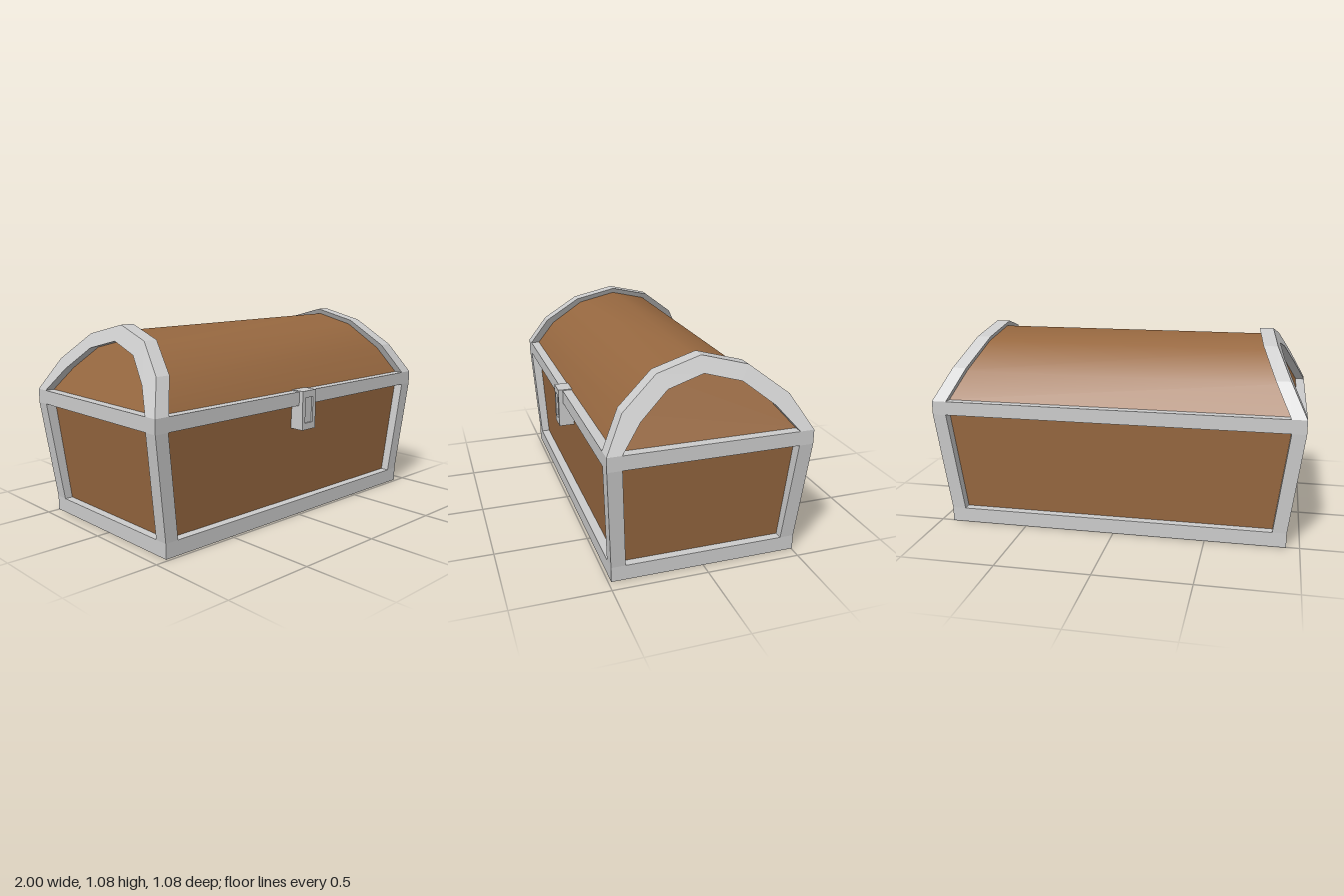
import * as THREE from 'three';
import { toCreasedNormals } from 'three/addons/utils/BufferGeometryUtils.js';

const metal = new THREE.MeshStandardMaterial({ color: 0xcccccc, flatShading: true });
const wood = new THREE.MeshStandardMaterial({ color: 0x976840 });

const RIM = 0.705; // height where the lid starts
const LEAN = 0.52; // inward lean of the lid ends

// Half profiles [z, y] from the rim up to the crown
const OUTER = [[0.525, RIM], [0.425, 0.875], [0.235, 1.02], [0, 1.08]];
const INNER = [[0.45, RIM], [0.343, 0.83], [0.19, 0.95], [0, 1.0]];
const LID = [[0.475, RIM], [0.385, 0.853], [0.213, 0.994], [0, 1.05]];

const fullArc = (half) => [...half, ...half.slice(0, -1).reverse().map(([z, y]) => [-z, y])];
const toShape = (pts) => new THREE.Shape(pts.map(([a, b]) => new THREE.Vector2(a, b)));

// Extrude a z-y outline along x between two end surfaces that depend on height
function extrudeAcross(pts, lowX, highX) {
  const geo = new THREE.ExtrudeGeometry(toShape(pts), { depth: 1, bevelEnabled: false });
  const p = geo.attributes.position;
  for (let i = 0; i < p.count; i++) {
    const z = p.getX(i), y = p.getY(i);
    p.setXYZ(i, p.getZ(i) < 0.5 ? lowX(y) : highX(y), y, -z);
  }
  geo.computeVertexNormals();
  return geo;
}

// Box whose bottom and top rectangles differ: [x0, x1, z0, z1]
function taperedBox(bottom, top, y0, y1) {
  const geo = new THREE.BoxGeometry(1, 1, 1).toNonIndexed();
  const p = geo.attributes.position;
  for (let i = 0; i < p.count; i++) {
    const up = p.getY(i) > 0, r = up ? top : bottom;
    p.setXYZ(i, p.getX(i) < 0 ? r[0] : r[1], up ? y1 : y0, p.getZ(i) < 0 ? r[2] : r[3]);
  }
  geo.computeVertexNormals();
  return geo;
}

// Rectangular hoop with a square opening
function hoop(hx, hz, width, y0, y1) {
  const rect = (x, z) => [[-x, -z], [x, -z], [x, z], [-x, z]];
  const shape = toShape(rect(hx, hz));
  shape.holes.push(toShape(rect(hx - width, hz - width)));
  const geo = new THREE.ExtrudeGeometry(shape, { depth: y1 - y0, bevelEnabled: false });
  return geo.rotateX(-Math.PI / 2).translate(0, y0, 0);
}

export function createModel() {
  const model = new THREE.Group();
  model.name = 'chest';
  const chest = new THREE.Group();
  chest.name = 'chestParts';
  chest.position.z = -0.01;
  model.add(chest);
  const add = (name, geo, mat) => {
    const mesh = new THREE.Mesh(geo, mat);
    mesh.name = name;
    chest.add(mesh);
  };

  // Wooden box, set back behind the frame
  add('body', taperedBox([-0.88, 0.88, -0.445, 0.445], [-0.95, 0.95, -0.475, 0.475], 0.03, 0.69), wood);

  // Rounded wooden lid with leaning ends
  const lidEnd = (y) => 0.95 - LEAN * (y - RIM);
  add('lid', toCreasedNormals(extrudeAcross(fullArc(LID), (y) => -lidEnd(y), lidEnd), 0.7), wood);

  // Frame hoops
  add('bottomFrame', hoop(0.93, 0.495, 0.055, 0, 0.08), metal);
  add('topFrame', hoop(1, 0.525, 0.05, 0.63, RIM), metal);

  // Corner posts
  const span = (outer, s) => (s > 0 ? [outer - 0.075, outer] : [-outer, -outer + 0.075]);
  for (const sx of [-1, 1]) for (const sz of [-1, 1]) {
    add('cornerPost', taperedBox(
      [...span(0.93, sx), ...span(0.495, sz)],
      [...span(1, sx), ...span(0.525, sz)], 0.08, 0.63), metal);
  }

  // Arched bands at the lid ends
  const band = [...fullArc(OUTER), ...fullArc(INNER).reverse()];
  const outerX = (y) => 1 - LEAN * (y - RIM);
  const innerX = (y) => 0.92 - 0.507 * (y - RIM);
  add('leftArch', extrudeAcross(band, innerX, outerX), metal);
  add('rightArch', extrudeAcross(band, (y) => -outerX(y), (y) => -innerX(y)), metal);

  // Latch: block with a raised border on its front
  const block = new THREE.BoxGeometry(0.105, 0.215, 0.075).translate(0.022, 0.6025, 0.5025);
  add('latch', block, metal);
  const border = toShape([[-0.0525, -0.1075], [0.0525, -0.1075], [0.0525, 0.1075], [-0.0525, 0.1075]]);
  border.holes.push(toShape([[-0.03, -0.07], [0.03, -0.07], [0.03, 0.07], [-0.03, 0.07]]));
  add('latchBorder', new THREE.ExtrudeGeometry(border, { depth: 0.01, bevelEnabled: false })
    .translate(0.022, 0.6025, 0.54), metal);

  return model;
}
